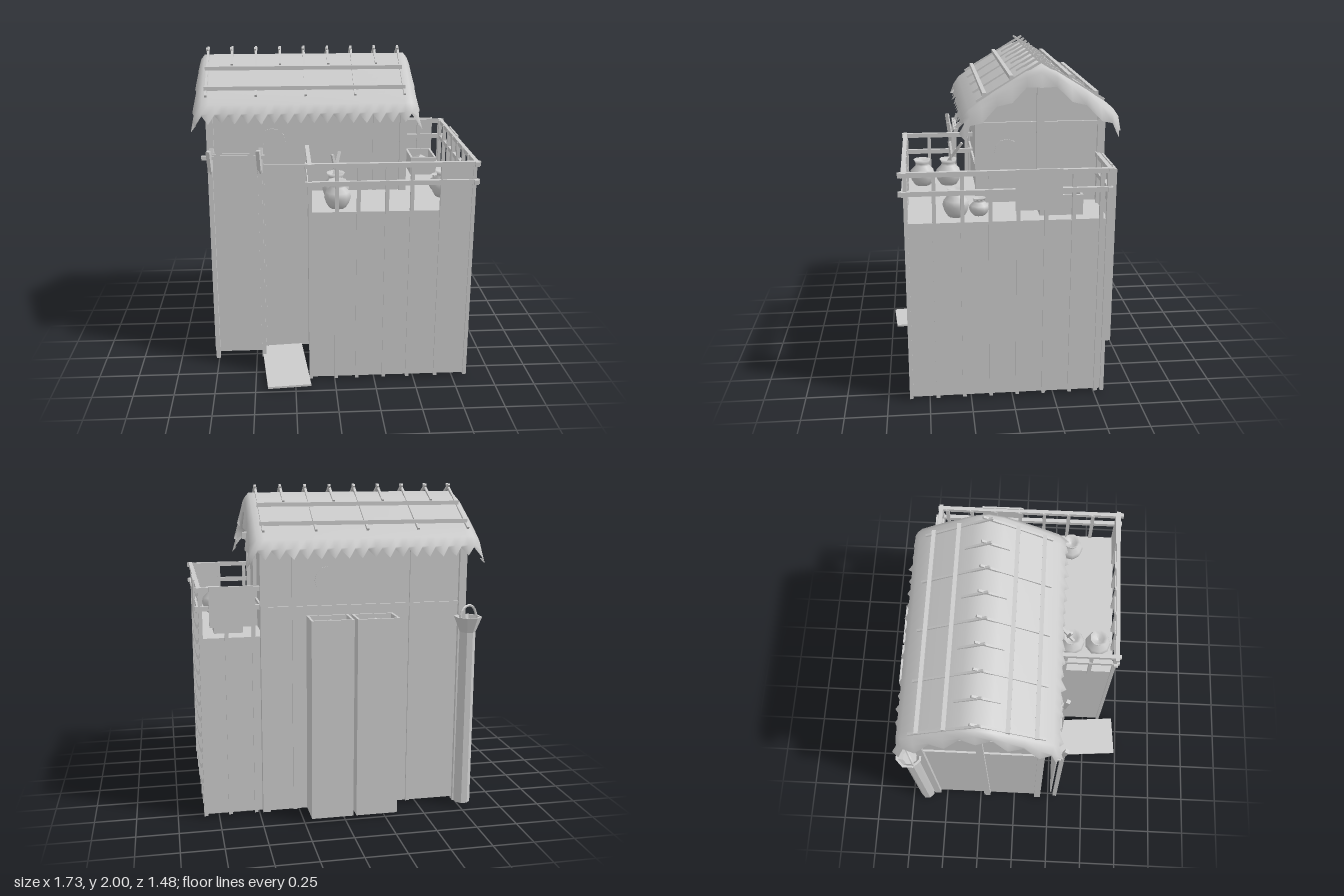
import * as THREE from 'three';

const mat = new THREE.MeshStandardMaterial({ color: 0xcccccc, flatShading: true });
const thin = new THREE.MeshStandardMaterial({ color: 0xcccccc, flatShading: true, side: THREE.DoubleSide });
const smooth = new THREE.MeshStandardMaterial({ color: 0xcccccc, side: THREE.DoubleSide });

const RIDGE = -0.2; // z of the roof ridge

export function createModel() {
  const model = new THREE.Group();
  model.name = 'stiltHut';
  const group = (name) => {
    const g = new THREE.Group();
    g.name = name;
    model.add(g);
    return g;
  };
  const add = (parent, name, geo, m = mat) => {
    const mesh = new THREE.Mesh(geo, m);
    mesh.name = name;
    parent.add(mesh);
    return mesh;
  };
  // box given by its extents
  const box = (parent, name, x0, x1, y0, y1, z0, z1) => {
    const mesh = add(parent, name, new THREE.BoxGeometry(x1 - x0, y1 - y0, z1 - z0));
    mesh.position.set((x0 + x1) / 2, (y0 + y1) / 2, (z0 + z1) / 2);
    return mesh;
  };
  const post = (parent, name, x, z, y0, y1, w) =>
    box(parent, name, x - w / 2, x + w / 2, y0, y1, z - w / 2, z + w / 2);
  // square stick between two points
  const stick = (parent, name, a, b, w) => {
    const p = new THREE.Vector3(...a), q = new THREE.Vector3(...b);
    const mesh = add(parent, name, new THREE.BoxGeometry(w, w, p.distanceTo(q)));
    mesh.position.copy(p).lerp(q, 0.5);
    mesh.lookAt(q);
    return mesh;
  };

  // Deck block
  const deck = group('deck');
  box(deck, 'deckBlock', -0.15, 0.83, 0.02, 1.12, -0.55, 0.61);

  // Fence, its posts run down the deck sides as battens
  const fence = group('fence');
  for (const x of [-0.15, 0.01, 0.14, 0.31, 0.46, 0.64, 0.83])
    post(fence, 'frontPost', x, 0.61, 0.01, 1.42, 0.022);
  for (const z of [0.45, 0.29, 0.13, -0.03, -0.19, -0.35, -0.51])
    post(fence, 'sidePost', 0.83, z, 0.01, 1.42, 0.022);
  for (const x of [0.52, 0.68, 0.83]) post(fence, 'backPost', x, -0.55, 0.01, 1.42, 0.022);
  for (const z of [0.3, 0.46]) post(fence, 'leftPost', -0.15, z, 1.1, 1.42, 0.022);
  for (const y of [1.3, 1.41]) {
    box(fence, 'frontRail', -0.18, 0.86, y - 0.014, y + 0.014, 0.605, 0.63);
    box(fence, 'sideRail', 0.825, 0.85, y - 0.014, y + 0.014, -0.57, 0.65);
    box(fence, 'backRail', 0.46, 0.86, y - 0.014, y + 0.014, -0.565, -0.54);
    box(fence, 'leftRail', -0.165, -0.14, y - 0.014, y + 0.014, 0.17, 0.64);
  }
  box(fence, 'frontPanel', 0.64, 0.83, 1.12, 1.42, 0.6, 0.612);
  box(fence, 'sidePanel', 0.845, 0.857, 1.19, 1.43, -0.28, -0.01);
  box(fence, 'backPanel', 0.52, 0.78, 1.19, 1.43, -0.578, -0.566);

  // Hut walls, open below
  const hut = group('hut');
  const gable = new THREE.Shape([[-0.37, 0.02], [0.37, 0.02], [0.37, 1.66], [0, 1.88], [-0.37, 1.66]]
    .map((p) => new THREE.Vector2(...p)));
  for (const s of [-1, 1]) {
    const wall = add(hut, 'longWall', new THREE.PlaneGeometry(1.22, 1.64), thin);
    wall.position.set(-0.15, 0.84, RIDGE + s * 0.37);
    if (s < 0) wall.rotation.y = Math.PI;
    const end = add(hut, 'gableWall', new THREE.ShapeGeometry(gable), thin);
    end.position.set(-0.15 + s * 0.61, 0, RIDGE);
    end.rotation.y = s * Math.PI / 2;

    // Timber frame
    const z = RIDGE + s * 0.37, x = -0.15 + s * 0.61;
    for (const px of [-0.76, 0.46]) post(hut, 'cornerPost', px, z, px < 0 ? 0 : 0.02, 1.66, 0.045);
    for (const px of [-0.44, 0.28]) post(hut, 'wallPost', px, z, 0.02, 1.64, 0.025);
    box(hut, 'longBeam', -0.76, 0.46, 1.28, 1.3, z - 0.012, z + 0.012);
    box(hut, 'eaveBeam', -0.81, 0.51, 1.63, 1.675, z - 0.022, z + 0.022);
    post(hut, 'gablePost', x, RIDGE, s < 0 ? 0 : 1.1, 1.88, 0.045);
    box(hut, 'gableBeam', x - 0.012, x + 0.012, 1.28, 1.3, -0.57, 0.17);
    box(hut, 'gableTie', x - 0.015, x + 0.015, 1.59, 1.62, -0.57, 0.17);

    // Round shutters
    const a = add(hut, 'roundShutter', new THREE.CylinderGeometry(0.085, 0.085, 0.012, 12));
    a.rotation.x = Math.PI / 2;
    a.position.set(-0.15 - s * 0.22, 1.45, z);
    const b = add(hut, 'roundShutter', new THREE.CylinderGeometry(0.075, 0.075, 0.012, 12));
    b.rotation.z = Math.PI / 2;
    b.position.set(x, 1.44, 0);
  }
  box(hut, 'ridgeBeam', -0.79, 0.49, 1.86, 1.9, RIDGE - 0.02, RIDGE + 0.02);

  // Thatched roof: slope profile swept along x, ends curled over, ragged fringe
  const roof = group('roof');
  let seed = 7;
  const rnd = () => (seed = (seed * 16807) % 2147483647) / 2147483647;
  const slope = [[0, 1.95], [0.09, 1.92], [0.18, 1.865], [0.27, 1.81], [0.36, 1.75], [0.43, 1.7], [0.465, 1.65]];
  const rows = [];
  for (let i = slope.length - 1; i > 0; i--) rows.push([-slope[i][0], slope[i][1]]);
  rows.push(...slope);
  rows.unshift([-0.48, 1.61]);
  rows.push([0.48, 1.61]);
  const NX = 36, NZ = rows.length - 1;
  const pos = [], idx = [];
  for (let j = 0; j <= NZ; j++) {
    for (let i = 0; i <= NX; i++) {
      let [dz, y] = rows[j];
      const c = Math.min(i, NX - i), side = i < NX / 2 ? -1 : 1;
      let x = -0.15 - 0.65 + 1.3 * (i - 2) / (NX - 4);
      const flare = 0.02 * Math.abs(dz) / 0.48;
      if (c === 1) { x = -0.15 + side * (0.675 + flare); y -= 0.03; }
      if (c === 0) { x = -0.15 + side * (0.67 + flare + (j % 2) * 0.03); y -= 0.085 + (j % 2) * 0.03; }
      if (c < 2) dz *= 0.985;
      if (j === 0 || j === NZ) {
        const tip = i % 2;
        const r = rnd() * 0.03;
        y += tip ? -0.02 : 0.025;
        dz += Math.sign(dz) * (tip ? r - 0.01 : -0.03);
        y = Math.max(y, 1.57);
      }
      pos.push(x, y, RIDGE + dz);
    }
  }
  for (let j = 0; j < NZ; j++)
    for (let i = 0; i < NX; i++) {
      const a = j * (NX + 1) + i, b = a + NX + 1;
      idx.push(a, b, a + 1, b, b + 1, a + 1);
    }
  const thatch = new THREE.BufferGeometry();
  thatch.setAttribute('position', new THREE.Float32BufferAttribute(pos, 3));
  thatch.setIndex(idx);
  thatch.computeVertexNormals();
  add(roof, 'thatch', thatch, smooth);

  // Poles holding down the thatch
  for (const s of [-1, 1]) {
    for (const [dz, y] of [[0.175, 1.885], [0.335, 1.785]])
      box(roof, 'roofRail', -0.79, 0.47, y - 0.012, y + 0.012, RIDGE + s * dz - 0.012, RIDGE + s * dz + 0.012);
    for (let i = 0; i < 9; i++) {
      const x = -0.78 + i * 0.155 + s * 0.003;
      const end = i % 2 ? [x, 1.9, RIDGE + s * 0.13] : [x, 1.745, RIDGE + s * 0.385];
      stick(roof, 'crossPole', [x, 1.992, RIDGE - s * 0.03], end, 0.014);
    }
  }

  // Hanging door panel on a pole frame
  const screen = group('hangingScreen');
  box(screen, 'screenPanel', -0.745, -0.465, 0.04, 1.4, 0.265, 0.275);
  box(screen, 'screenBar', -0.81, -0.42, 1.365, 1.39, 0.258, 0.285);
  for (const x of [-0.755, -0.45]) {
    stick(screen, 'screenPole', [x, 0.01, 0.3], [x, 1.3, 0.3], 0.026);
    stick(screen, 'poleFork', [x, 1.28, 0.3], [x - 0.008, 1.43, 0.32], 0.024);
    stick(screen, 'poleFork', [x, 1.28, 0.3], [x + 0.008, 1.43, 0.245], 0.024);
  }

  // Ramp board
  const ramp = box(model, 'rampBoard', -0.445, -0.175, 0.015, 0.028, 0.18, 0.73);
  ramp.rotation.y = 0.08;

  // Open bin with a heap inside
  const bin = (name, x0, x1, y0, y1, z0, z1) => {
    const g = group(name), t = 0.014;
    box(g, 'binBase', x0, x1, y0, y1 - 0.07, z0, z1);
    for (const [a, b, c, d] of [[x0, x0 + t, z0, z1], [x1 - t, x1, z0, z1], [x0, x1, z0, z0 + t], [x0, x1, z1 - t, z1]])
      box(g, 'binRim', a, b, y1 - 0.07, y1, c, d);
    const heap = add(g, 'heap', new THREE.ConeGeometry(Math.SQRT1_2, 0.06, 4).rotateY(Math.PI / 4));
    heap.scale.set(x1 - x0 - 2 * t, 1, z1 - z0 - 2 * t);
    heap.position.set((x0 + x1) / 2, y1 - 0.04, (z0 + z1) / 2);
  };
  bin('backBin', -0.325, -0.07, 0.02, 1.24, -0.745, -0.57);
  bin('backBin', -0.05, 0.205, 0.02, 1.24, -0.745, -0.57);
  bin('deckCrate', 0.57, 0.745, 1.12, 1.24, -0.42, -0.165);

  // Jars
  const jarCurve = [[0, 0], [0.05, 0], [0.07, 0.03], [0.083, 0.07], [0.075, 0.1], [0.045, 0.13], [0.043, 0.145], [0.056, 0.17], [0.035, 0.145], [0, 0.13]]
    .map((p) => new THREE.Vector2(...p));
  const jars = group('jars');
  for (const [x, z, w, h] of [[0.02, 0.34, 1.03, 1], [0.02, 0.51, 1, 1], [0.7, 0.32, 0.95, 1], [0.69, 0.185, 0.72, 0.6]]) {
    const jar = add(jars, 'jar', new THREE.LatheGeometry(jarCurve, 9), smooth);
    jar.scale.set(w, h, w);
    jar.position.set(x, 1.12, z);
  }
  stick(jars, 'jarStick', [0.0, 1.24, 0.36], [0.05, 1.4, 0.25], 0.016);
  stick(jars, 'jarStick', [0.03, 1.24, 0.31], [0.0, 1.4, 0.33], 0.016);

  // Tall drain post with a bucket top and hoop handle
  const drain = group('drainPost');
  drain.position.set(-0.78, 0, -0.645);
  const drainCurve = [[0, 0.02], [0.05, 0.02], [0.048, 1.12], [0.085, 1.215], [0.07, 1.215], [0.045, 1.15], [0, 1.15]]
    .map((p) => new THREE.Vector2(...p));
  add(drain, 'drainBody', new THREE.LatheGeometry(drainCurve, 8, Math.PI / 8), thin);
  const hoop = add(drain, 'hoopHandle', new THREE.TorusGeometry(0.072, 0.008, 5, 10, Math.PI));
  hoop.position.y = 1.21;
  hoop.rotation.y = 0.5;

  return model;
}
